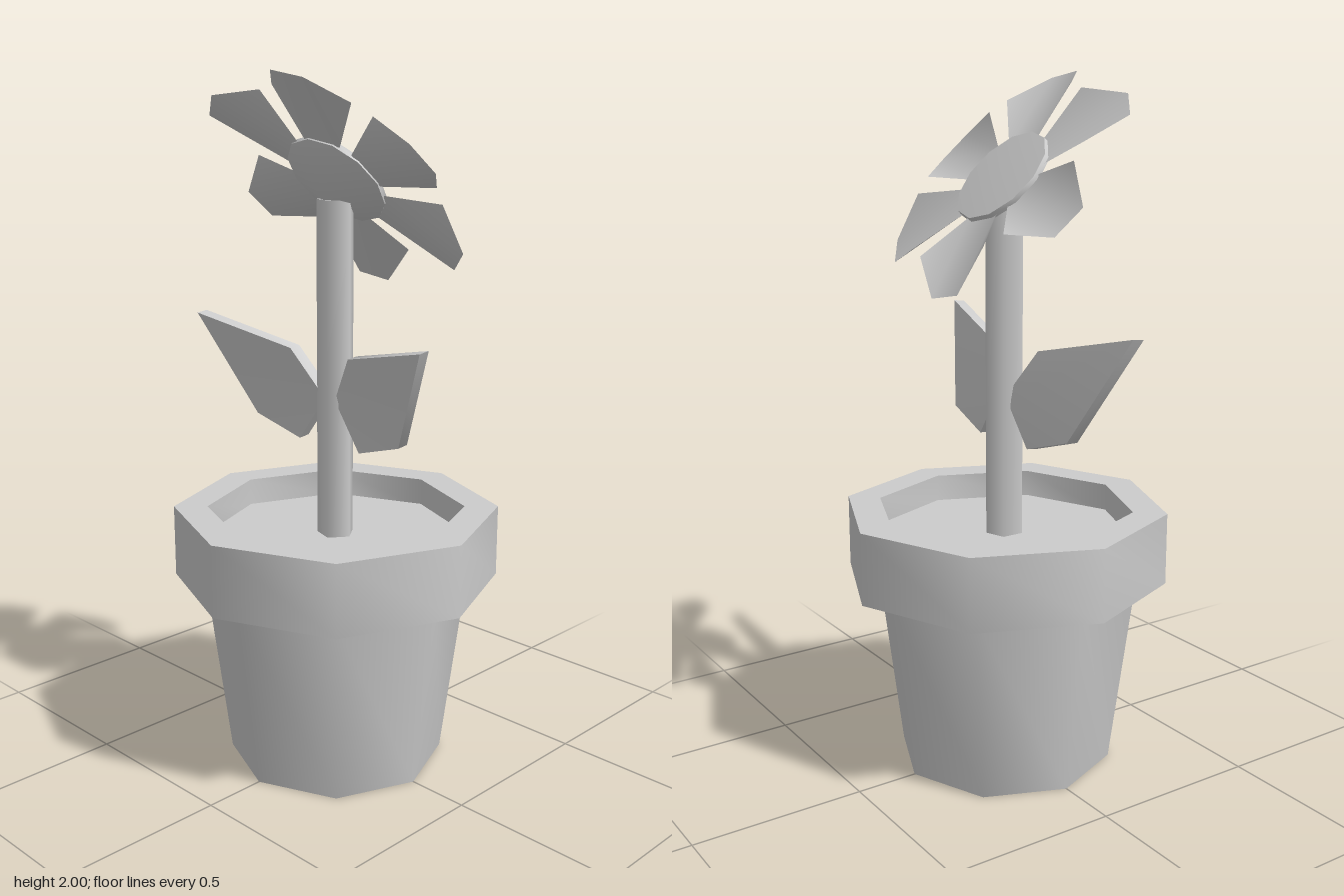
import * as THREE from 'three';
import { toCreasedNormals } from 'three/addons/utils/BufferGeometryUtils.js';

const material = new THREE.MeshStandardMaterial({ color: 0xcccccc, side: THREE.DoubleSide });

function add(parent, name, geometry) {
  const mesh = new THREE.Mesh(geometry, material);
  mesh.name = name;
  parent.add(mesh);
  return mesh;
}

// Turned part: smooth around, sharp along the profile
function lathe(profile, sides) {
  const points = profile.map(([r, y]) => new THREE.Vector2(r, y));
  return toCreasedNormals(new THREE.LatheGeometry(points, sides), 0.9);
}

function fromPoints(points, index) {
  const geometry = new THREE.BufferGeometry();
  geometry.setAttribute('position', new THREE.Float32BufferAttribute(points.flat(), 3));
  geometry.setIndex(index);
  geometry.computeVertexNormals();
  return geometry;
}

// Thick leaf from a counterclockwise outline of its back face; side is 1 or -1
function leafGeometry(side) {
  const outline = [[0.02, 1.1, -0.01], [0.12, 0.965, -0.005], [0.285, 1.015, 0.012],
    [0.44, 1.312, 0.108], [0.115, 1.24, 0.035]];
  const n = outline.length;
  const back = outline.map(([x, y, z]) => [x * side, y, z]);
  const front = back.map(([x, y, z]) => [x, y - 0.004, z + 0.035]);
  const index = [];
  const triangle = (a, b, c) => index.push(...(side > 0 ? [a, b, c] : [a, c, b]));
  for (let i = 1; i < n - 1; i++) {
    triangle(0, i + 1, i);
    triangle(n, n + i, n + i + 1);
  }
  for (let i = 0; i < n; i++) {
    const j = (i + 1) % n;
    triangle(i, j, n + j);
    triangle(i, n + j, n + i);
  }
  return toCreasedNormals(fromPoints([...back, ...front], index), 0.9);
}

export function createModel() {
  const model = new THREE.Group();
  model.name = 'pottedFlower';

  // Pot with rim
  add(model, 'pot', lathe([[0, 0], [0.318, 0], [0.39, 0.56], [0.475, 0.56],
    [0.475, 0.77], [0.377, 0.77], [0.377, 0.68]], 8));

  // Soil
  add(model, 'soil', lathe([[0.377, 0.69], [0, 0.69]], 8));

  // Five-sided stem
  const stem = add(model, 'stem',
    new THREE.CylinderGeometry(0.055, 0.055, 0.98, 5, 1, false, Math.PI / 2));
  stem.position.y = 1.17;

  // Leaves
  add(model, 'leftLeaf', leafGeometry(1));
  add(model, 'rightLeaf', leafGeometry(-1));

  // Flower head, tipped to face up and back
  const head = new THREE.Group();
  head.name = 'flowerHead';
  head.position.y = 1.71;
  head.rotation.x = -0.83;
  model.add(head);

  // Centre disc with a conical back
  add(head, 'flowerCentre', lathe([[0, -0.07], [0.157, -0.002], [0.155, 0.016], [0, 0.024]], 12));

  // Petals: flat middle with raised side corners
  const petal = fromPoints([[-0.055, 0.004, 0.13], [-0.13, 0.038, 0.29], [-0.052, -0.011, 0.405],
    [0.052, -0.011, 0.405], [0.13, 0.038, 0.29], [0.055, 0.004, 0.13]],
  [0, 1, 2, 0, 2, 3, 0, 3, 5, 3, 4, 5]);
  for (let i = 0; i < 6; i++) {
    add(head, `petal${i + 1}`, petal).rotation.y = 0.24 + i * Math.PI / 3;
  }
  return model;
}
